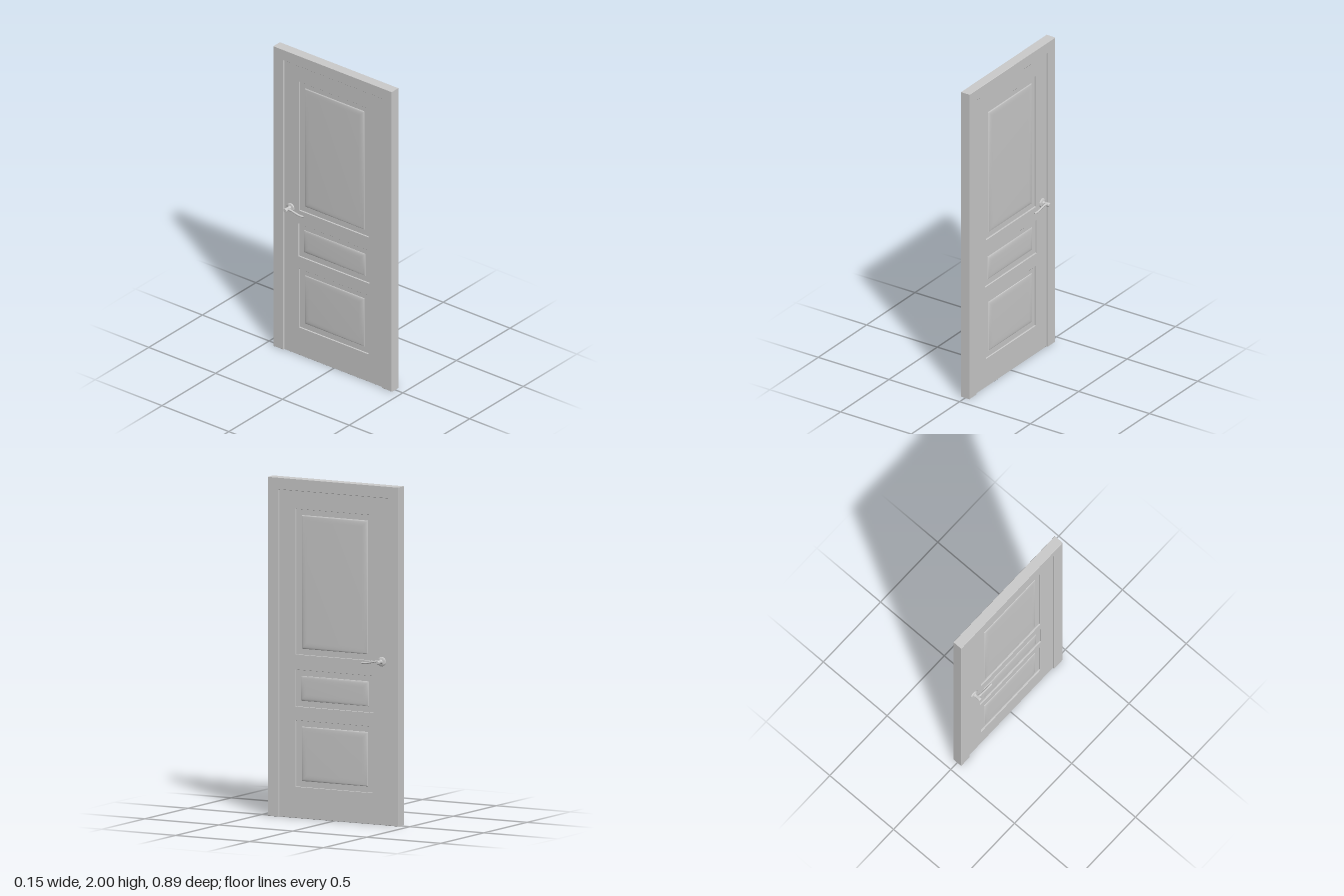
import * as THREE from 'three';
import { toCreasedNormals } from 'three/addons/utils/BufferGeometryUtils.js';

const material = new THREE.MeshStandardMaterial({ color: 0xcccccc });

const FRAME_HALF = 0.031; // half thickness of the frame
const LEAF_HALF = 0.021; // half thickness of the leaf
const GROOVE_HALF = 0.012; // half thickness at the panel grooves
const FIELD_HALF = 0.019; // half thickness at the raised fields

// Panel openings: half width, bottom, top
const PANELS = [
  { name: 'topPanel', half: 0.259, y0: 0.964, y1: 1.822 },
  { name: 'middlePanel', half: 0.265, y0: 0.657, y1: 0.874 },
  { name: 'bottomPanel', half: 0.259, y0: 0.184, y1: 0.575 },
];

function outline(points, Type = THREE.Shape) {
  return new Type(points.map(([u, v]) => new THREE.Vector2(u, v)));
}

function rectangle(half, y0, y1, Type) {
  return outline([[-half, y0], [half, y0], [half, y1], [-half, y1]], Type);
}

// Extrudes an outline drawn in (z, y) across the door thickness
function slab(shape, half, bevelSize, bevelThickness = bevelSize, bevelSegments = 1) {
  const geometry = new THREE.ExtrudeGeometry(shape, {
    depth: 2 * (half - bevelThickness),
    bevelEnabled: true,
    bevelSize,
    bevelOffset: -bevelSize,
    bevelThickness,
    bevelSegments,
  });
  geometry.translate(0, 0, bevelThickness - half);
  geometry.rotateY(Math.PI / 2);
  return toCreasedNormals(geometry, 0.6);
}

function addMesh(parent, name, geometry) {
  const mesh = new THREE.Mesh(geometry, material);
  mesh.name = name;
  parent.add(mesh);
  return mesh;
}

// Lever: a tube whose radius follows a rule, flared at the root, round at the tip
function leverGeometry(side) {
  const path = new THREE.CatmullRomCurve3([
    new THREE.Vector3(0.053, 0, 0),
    new THREE.Vector3(0.053, 0.002 * side, 0.022),
    new THREE.Vector3(0.053, -0.003 * side, 0.05),
    new THREE.Vector3(0.053, -0.01 * side, 0.085),
    new THREE.Vector3(0.052, -0.011 * side, 0.122),
  ]);
  const steps = 40, sides = 14;
  const geometry = new THREE.TubeGeometry(path, steps, 1, sides);
  const position = geometry.attributes.position;
  const vertex = new THREE.Vector3();
  for (let i = 0; i <= steps; i++) {
    const t = i / steps;
    const centre = path.getPointAt(t);
    const flare = 0.009 * Math.max(0, 1 - t / 0.32) ** 2;
    const tip = Math.sqrt(Math.max(0, 1 - Math.max(0, (t - 0.94) / 0.06) ** 2));
    const radius = (0.0055 + 0.0018 * t + flare) * tip;
    for (let j = 0; j <= sides; j++) {
      const k = i * (sides + 1) + j;
      vertex.fromBufferAttribute(position, k).sub(centre).multiplyScalar(radius);
      vertex.y *= 0.85;
      vertex.add(centre);
      position.setXYZ(k, vertex.x, vertex.y, vertex.z);
    }
  }
  return geometry;
}

// Rose and spindle turned around the x axis
function turned(points) {
  const profile = points.map(([r, x]) => new THREE.Vector2(r, x));
  const geometry = new THREE.LatheGeometry(profile, 28);
  geometry.rotateZ(-Math.PI / 2);
  return toCreasedNormals(geometry.toNonIndexed(), 0.6);
}

function createHandle(side) {
  const handle = new THREE.Group();
  handle.name = side > 0 ? 'leftHandle' : 'rightHandle';
  addMesh(handle, 'rose', turned([
    [0.028, 0.018], [0.028, 0.024], [0.0265, 0.027], [0.022, 0.029], [0.015, 0.031], [0, 0.032],
  ]));
  addMesh(handle, 'spindle', turned([
    [0.015, 0.029], [0.0115, 0.034], [0.0105, 0.042], [0.012, 0.055], [0.013, 0.066],
    [0.0128, 0.072], [0.0105, 0.076], [0, 0.077],
  ]));
  addMesh(handle, 'lever', leverGeometry(side));
  handle.position.set(0, 0.963, -0.322);
  if (side < 0) handle.rotation.z = Math.PI;
  return handle;
}

export function createModel() {
  const door = new THREE.Group();
  door.name = 'door';

  // Frame around the two sides and the top
  const frame = outline([
    [-0.443, 0], [-0.369, 0], [-0.369, 1.93], [0.369, 1.93],
    [0.369, 0], [0.443, 0], [0.443, 2], [-0.443, 2],
  ]);
  addMesh(door, 'frame', slab(frame, FRAME_HALF, 0.0015));

  // Leaf with an opening for each panel
  const leaf = rectangle(0.37, 0, 1.931);
  for (const p of PANELS) leaf.holes.push(rectangle(p.half, p.y0, p.y1, THREE.Path));
  addMesh(door, 'leaf', slab(leaf, LEAF_HALF, 0.001));

  // Recessed panels with raised fields on both faces
  for (const p of PANELS) {
    const panel = new THREE.Group();
    panel.name = p.name;
    const height = p.y1 - p.y0;
    const back = addMesh(panel, 'groove',
      new THREE.BoxGeometry(2 * GROOVE_HALF, height + 0.01, 2 * p.half + 0.01));
    back.position.y = (p.y0 + p.y1) / 2;
    const field = rectangle(p.half - 0.035, p.y0 + 0.035, p.y1 - 0.035);
    addMesh(panel, 'raisedField', slab(field, FIELD_HALF, 0.038, FIELD_HALF - GROOVE_HALF, 5));
    door.add(panel);
  }

  // A lever handle on each face
  for (const side of [1, -1]) door.add(createHandle(side));
  return door;
}
